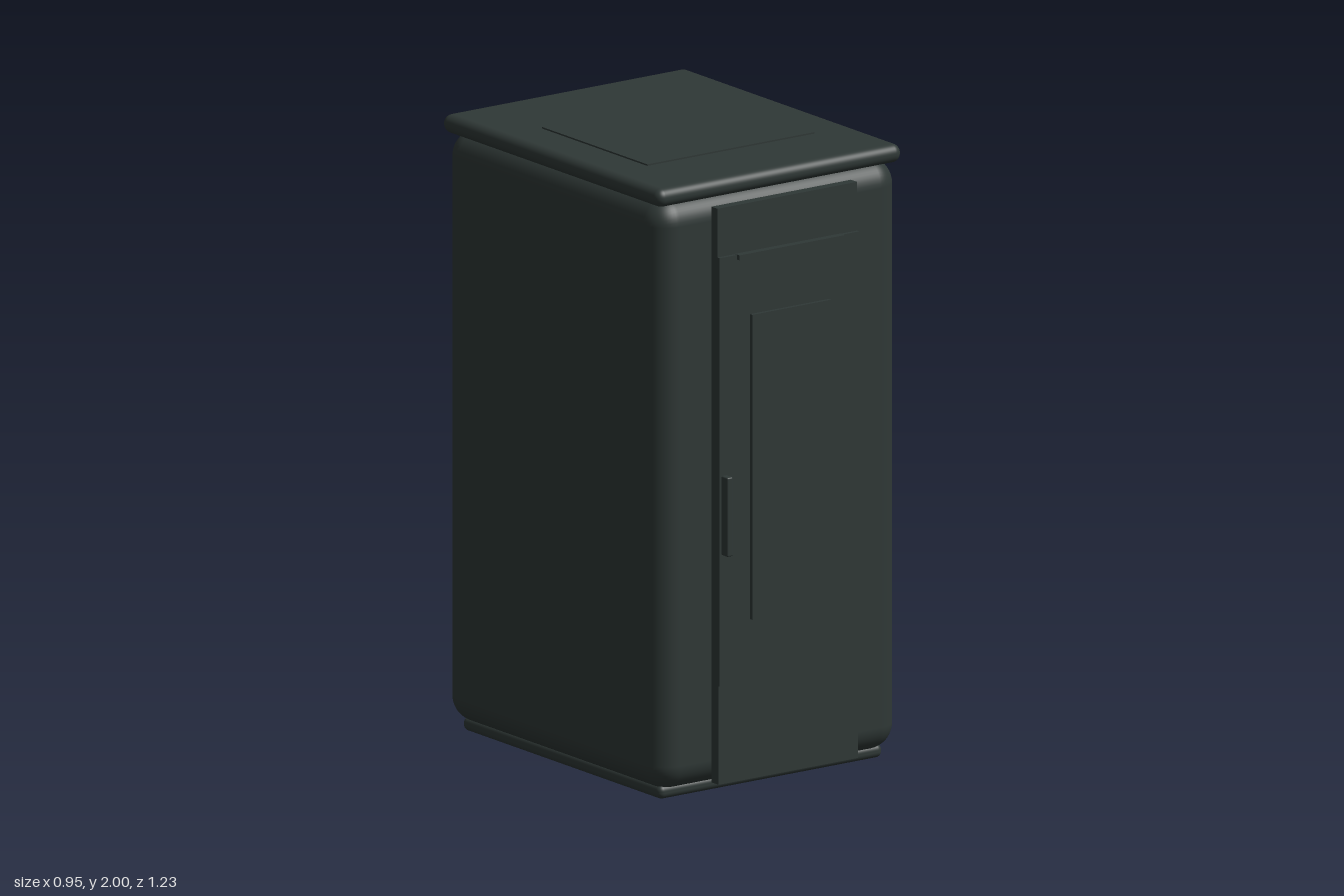
import * as THREE from 'three';
import { RoundedBoxGeometry } from 'three/addons/geometries/RoundedBoxGeometry.js';

export function createModel() {
  const stove = new THREE.Group();
  stove.name = 'stove';
  const castIron = new THREE.MeshStandardMaterial({ color: 0x2f3836 });
  castIron.name = 'dark cast iron';

  // Adds a box given by its extents; a radius rounds its edges.
  function addBox(name, [x0, x1], [y0, y1], [z0, z1], radius = 0) {
    const size = [x1 - x0, y1 - y0, z1 - z0];
    const geometry = radius
      ? new RoundedBoxGeometry(...size, 6, radius)
      : new THREE.BoxGeometry(...size);
    const mesh = new THREE.Mesh(geometry, castIron);
    mesh.name = name;
    mesh.position.set((x0 + x1) / 2, (y0 + y1) / 2, (z0 + z1) / 2);
    stove.add(mesh);
  }

  // Cabinet
  addBox('base', [-0.435, 0.435], [0, 0.045], [-0.56, 0.488], 0.02);
  addBox('body', [-0.474, 0.474], [0.03, 1.95], [-0.612, 0.537], 0.085);
  addBox('lid', [-0.476, 0.476], [1.935, 1.995], [-0.615, 0.538], 0.029);
  addBox('topPlate', [-0.325, 0.325], [1.985, 2], [-0.283, 0.272]);

  // Front panels
  const width = [-0.273, 0.27];
  addBox('lowerPanel', width, [0.045, 0.365], [0.54, 0.578]);
  addBox('door', width, [0.365, 1.755], [0.54, 0.584]);
  addBox('upperPanel', width, [1.755, 1.913], [0.54, 0.572]);

  // Door details
  addBox('window', [-0.155, 0.15], [0.565, 1.555], [0.582, 0.596]);
  addBox('ventStrip', [-0.205, 0.205], [1.74, 1.756], [0.57, 0.596]);
  addBox('handle', [-0.266, -0.243], [0.79, 1.047], [0.57, 0.615], 0.005);

  return stove;
}
